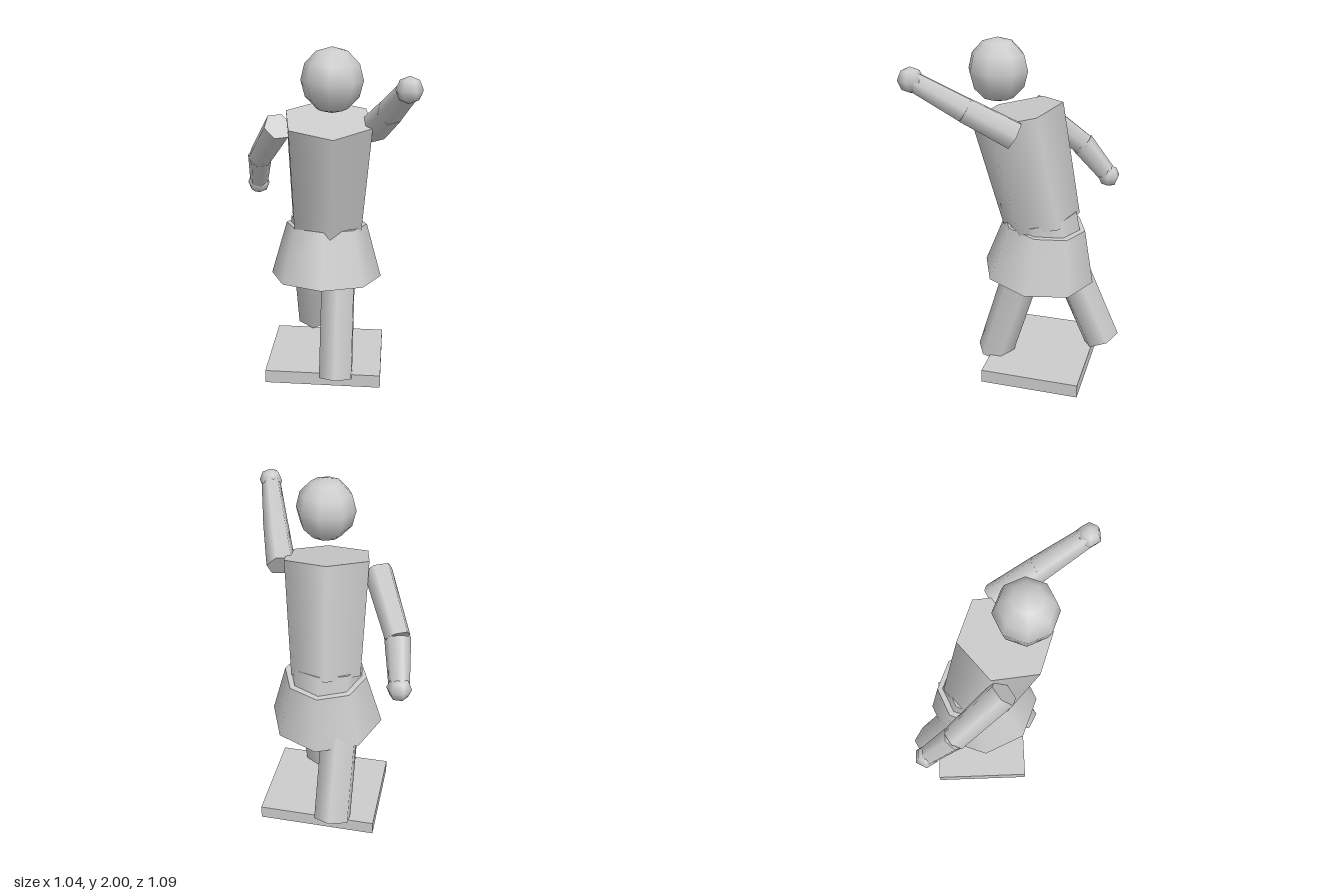
import * as THREE from 'three';

export function createModel() {
  const model = new THREE.Group();
  const material = new THREE.MeshStandardMaterial({ color: 0xcccccc });
  const up = new THREE.Vector3(0, 1, 0);

  const add = (name, geometry, position) => {
    const mesh = new THREE.Mesh(geometry, material);
    mesh.name = name;
    mesh.position.set(...position);
    model.add(mesh);
    return mesh;
  };

  // Tapered prism running from point a (radius ra) to point b (radius rb)
  const limb = (name, a, b, ra, rb, sides = 6, turn = 0) => {
    const start = new THREE.Vector3(...a);
    const end = new THREE.Vector3(...b);
    const axis = end.clone().sub(start);
    const geometry = new THREE.CylinderGeometry(rb, ra, axis.length(), sides, 1, false, turn);
    const middle = start.add(end).multiplyScalar(0.5);
    const mesh = add(name, geometry, middle.toArray());
    mesh.quaternion.setFromUnitVectors(up, axis.normalize());
  };

  // Base plate
  add('base', new THREE.BoxGeometry(0.69, 0.08, 0.58), [0, 0.04, -0.1]);

  // Striding legs
  limb('leftLeg', [0.08, 0.06, 0.185], [0.08, 0.75, -0.025], 0.11, 0.11);
  limb('rightLeg', [-0.11, 0.14, -0.445], [-0.11, 0.75, -0.177], 0.113, 0.113);

  // Skirt, hips and forward-leaning torso
  limb('skirt', [0, 0.615, -0.07], [0, 0.932, -0.105], 0.33, 0.24, 8);
  limb('hips', [0, 0.85, -0.11], [0, 0.98, -0.085], 0.21, 0.21, 8);
  limb('torso', [0, 0.95, -0.085], [0.023, 1.595, 0.055], 0.225, 0.262, 6, 0.18);

  // Head
  const head = add('head', new THREE.SphereGeometry(0.168, 8, 6), [0.05, 1.825, 0.15]);
  head.scale.y = 1.04;

  // Arms: shoulder, elbow and hand points
  const arms = {
    left: [[0.27, 1.535, 0], [0.36, 1.68, 0.235], [0.45, 1.84, 0.483]],
    right: [[-0.26, 1.545, 0.035], [-0.415, 1.295, -0.23], [-0.455, 1.085, -0.395]],
  };
  for (const [side, [shoulder, elbow, hand]] of Object.entries(arms)) {
    limb(side + 'UpperArm', shoulder, elbow, 0.083, 0.073);
    limb(side + 'Forearm', elbow, hand, 0.072, 0.056);
    add(side + 'Hand', new THREE.SphereGeometry(0.068, 6, 4), hand);
  }

  return model;
}
